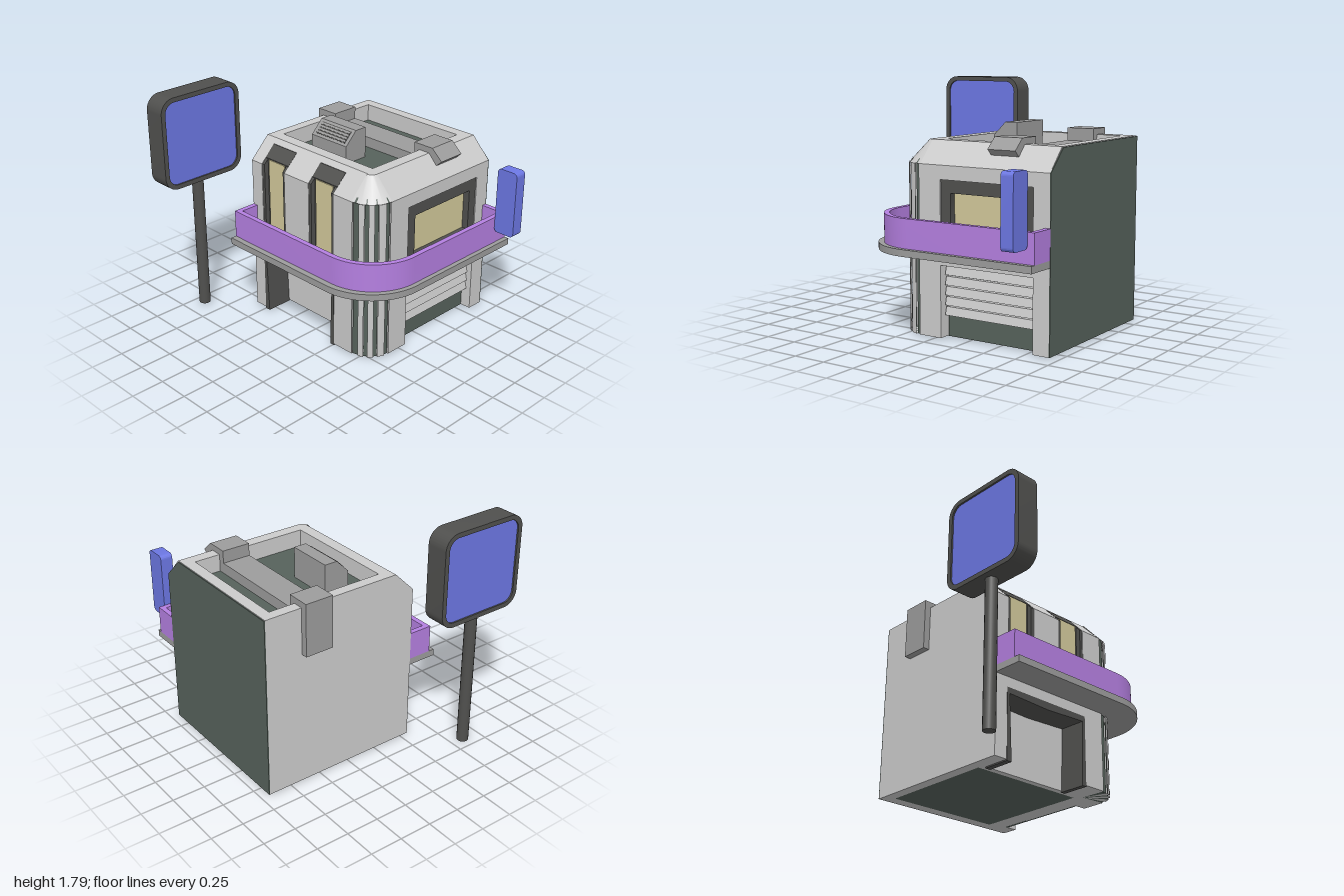
import * as THREE from 'three';
import { toCreasedNormals } from 'three/addons/utils/BufferGeometryUtils.js';

const mat = (color) => new THREE.MeshStandardMaterial({ color, side: THREE.DoubleSide });

export function createModel() {
  const root = new THREE.Group();
  const grey = mat(0xcccccc), mid = mat(0x9c9c9c), dark = mat(0x50504e), green = mat(0x56625b);
  const purple = mat(0xb47fe0), blue = mat(0x6c77e3), tan = mat(0xd1c89a);

  const add = (name, geo, material) => {
    const mesh = new THREE.Mesh(toCreasedNormals(geo, 0.5), material);
    mesh.name = name;
    root.add(mesh);
    return mesh;
  };
  const box = (name, m, x0, x1, y0, y1, z0, z1) => add(name,
    new THREE.BoxGeometry(x1 - x0, y1 - y0, z1 - z0).translate((x0 + x1) / 2, (y0 + y1) / 2, (z0 + z1) / 2), m);
  const poly = (pts) => new THREE.Shape(pts.map(([a, b]) => new THREE.Vector2(a, b)));
  const extrude = (shape, depth) => new THREE.ExtrudeGeometry(shape, { depth, bevelEnabled: false, curveSegments: 12 });
  // (x, y) profile run along z
  const alongZ = (name, m, shape, z0, z1) => add(name, extrude(shape, z1 - z0).translate(0, 0, z0), m);
  // (-z, y) profile run along x
  const alongX = (name, m, shape, x0, x1) => add(name, extrude(shape, x1 - x0).rotateY(Math.PI / 2).translate(x0, 0, 0), m);
  const zy = (pts) => poly(pts.map(([z, y]) => [-z, y]));
  // (x, -z) plan raised along y
  const alongY = (name, m, shape, y0, y1) => add(name, extrude(shape, y1 - y0).rotateX(-Math.PI / 2).translate(0, y0, 0), m);
  const roundRect = (x0, y0, x1, y1, r, s = new THREE.Shape()) => {
    s.moveTo(x0 + r, y0);
    s.absarc(x1 - r, y0 + r, r, -Math.PI / 2, 0);
    s.absarc(x1 - r, y1 - r, r, 0, Math.PI / 2);
    s.absarc(x0 + r, y1 - r, r, Math.PI / 2, Math.PI);
    s.absarc(x0 + r, y0 + r, r, Math.PI, Math.PI * 1.5);
    return s;
  };

  // Core with sunken roof, plain left and back walls
  box('core', green, -0.53, 0.39, 0.01, 1.26, -0.85, 0.06);
  box('leftWall', grey, -0.61, -0.53, 0.01, 1.39, -0.935, 0.06);
  box('backWall', grey, -0.53, 0.39, 0.01, 1.39, -0.935, -0.85);
  alongZ('backPanel', green, poly([[-0.61, 0.01], [0.63, 0.01], [0.63, 1.23], [0.47, 1.385], [-0.61, 1.385]]), -0.942, -0.935);

  // Front wall in vertical strips: door opening below, window notch above
  const strips = [[-0.61, -0.5, 0, 0], [-0.5, -0.25, 1, 1], [-0.25, 0, 1, 0], [0, 0.255, 1, 1], [0.255, 0.43, 0, 0]];
  for (const [x0, x1, door, win] of strips) {
    const base = door ? 0.53 : 0.01;
    const notch = win ? [[0.31, 0.65], [0.265, 0.65], [0.265, 1.27], [0.185, 1.355]] : [[0.31, 1.23]];
    alongX('frontWall', grey, zy([[0.06, base], [0.31, base], ...notch, [0.15, 1.39], [0.06, 1.39]]), x0, x1);
    if (!win) continue;
    const jamb = zy([[0.25, 0.65], [0.306, 0.65], [0.306, 1.23], [0.186, 1.35], [0.17, 1.35]]);
    alongX('windowJamb', dark, jamb, x0, x0 + 0.025);
    alongX('windowJamb', dark, jamb, x1 - 0.025, x1);
    alongX('windowHead', dark, zy([[0.255, 0.65], [0.269, 0.65], [0.269, 1.272], [0.189, 1.355], [0.17, 1.355]]), x0, x1);
    box('frontWindow', tan, x0 + 0.04, x1 - 0.04, 0.65, 1.265, 0.25, 0.276);
  }

  // Deep doorway with a tapered dark surround
  box('doorPanel', grey, -0.5, 0.255, 0.01, 0.53, 0.06, 0.105);
  alongZ('doorFrame', dark, poly([[-0.503, 0], [-0.46, 0], [-0.48, 0.49], [-0.12, 0.475], [0.235, 0.49], [0.22, 0],
    [0.258, 0], [0.258, 0.533], [-0.503, 0.533]]), 0.1, 0.312);

  // Side wall with shutter bay and wide window
  const slope = [[0.63, 1.23], [0.48, 1.39], [0.39, 1.39]];
  const plainSide = poly([[0.39, 0.01], [0.63, 0.01], ...slope]);
  alongZ('sideWall', grey, plainSide, -0.06, 0.11);
  alongZ('sideWall', grey, plainSide, -0.935, -0.81);
  alongZ('sideWall', grey, poly([[0.39, 0.01], [0.53, 0.01], [0.53, 0.53], [0.63, 0.53], [0.63, 0.67], [0.55, 0.67],
    [0.55, 1.13], [0.63, 1.13], ...slope]), -0.81, -0.06);
  box('shutterBack', green, 0.52, 0.545, 0.01, 0.53, -0.81, -0.07);
  for (let i = 0; i < 5; i++) {
    const y = 0.17 + i * 0.072;
    alongZ('shutterSlat', grey, poly([[0.53, y], [0.59, y], [0.575, y + 0.06], [0.53, y + 0.06]]), -0.81, -0.07);
  }
  const frame = roundRect(0.055, 0.67, 0.81, 1.13, 0.008);
  frame.holes.push(roundRect(0.14, 0.72, 0.74, 1.04, 0.004, new THREE.Path()));
  alongX('sideWindowFrame', dark, frame, 0.55, 0.622);
  box('sideWindow', tan, 0.55, 0.57, 0.7, 1.06, -0.76, -0.12);

  // Rounded corner, split into grey ribs and recessed green flutes
  const corner = (name, m, a, b, pts) => {
    const d = Math.PI / 180;
    const geo = new THREE.LatheGeometry(pts.map(([r, y]) => new THREE.Vector2(r, y)), 4, a * d, (b - a) * d);
    add(name, geo.translate(0.43, 0, 0.11), m);
  };
  const edges = [0, 3, 18, 30, 39, 51, 60, 76, 86, 90];
  for (let i = 0; i < edges.length - 1; i++) {
    const [a, b] = [edges[i], edges[i + 1]];
    if (i % 2) corner('cornerFlute', green, a, b, [[0, 0.01], [0.188, 0.01], [0.188, 1.23]]);
    else corner('cornerRib', grey, a, b, [[0, 0.01], [0.2, 0.01], [0.2, 1.23]]);
    if (i % 2) corner('fluteTip', green, (a * 2 + b) / 3, (a + 2 * b) / 3, [[0.2, 1.233], [0.172, 1.263]]);
  }
  corner('cornerSlope', grey, 0, 90, [[0.18, 1.23], [0.2, 1.23], [0.05, 1.39], [0, 1.39]]);

  // Wraparound ledge and fascia band
  const ledge = new THREE.Shape();
  ledge.moveTo(-0.61, -0.31);
  ledge.lineTo(-0.61, -0.54);
  ledge.absarc(0.41, -0.09, 0.45, -Math.PI / 2, 0);
  [[0.86, 0.94], [0.63, 0.94], [0.63, -0.11], [0.57, -0.25], [0.43, -0.31]].forEach((p) => ledge.lineTo(...p));
  alongY('ledge', mid, ledge, 0.61, 0.66);
  const band = new THREE.Shape();
  band.moveTo(-0.61, -0.31);
  band.lineTo(-0.61, -0.495);
  band.absarc(0.415, -0.085, 0.41, -Math.PI / 2, 0);
  [[0.825, 0.94], [0.63, 0.94], [0.63, 0.9], [0.785, 0.9]].forEach((p) => band.lineTo(...p));
  band.absarc(0.415, -0.085, 0.37, 0, -Math.PI / 2, true);
  band.lineTo(-0.57, -0.455);
  band.lineTo(-0.57, -0.31);
  alongY('fasciaBand', purple, band, 0.66, 0.87);

  // Roof duct that dips into the roof well and hangs over the left wall
  alongZ('roofDuct', mid, poly([[-0.66, 1.04], [-0.61, 1.04], [-0.61, 1.25], [0.5, 1.25], [0.5, 1.31], [0.55, 1.31],
    [0.6, 1.355], [0.51, 1.435], [0.34, 1.435], [0.34, 1.34], [-0.48, 1.34], [-0.48, 1.435], [-0.66, 1.435]]), -0.65, -0.43);

  // Roof vent with a louvred sloping face
  alongX('roofVent', mid, zy([[-0.28, 1.26], [-0.08, 1.26], [-0.08, 1.395], [-0.18, 1.495], [-0.28, 1.495]]), -0.37, -0.01);
  const louvre = new THREE.Group();
  louvre.name = 'ventGrille';
  louvre.position.set(-0.19, 1.445, -0.13);
  louvre.rotation.x = -Math.PI / 4;
  const grille = new THREE.Mesh(new THREE.BoxGeometry(0.3, 0.1, 0.006), dark);
  grille.rotation.x = 0;
  louvre.add(grille);
  for (let i = 0; i < 4; i++) {
    const bar = new THREE.Mesh(new THREE.BoxGeometry(0.3, 0.014, 0.012), mid);
    bar.name = 'ventBar';
    bar.position.y = -0.036 + i * 0.024;
    louvre.add(bar);
  }
  grille.name = 'ventBack';
  root.add(louvre);

  // Small blade sign on the side
  alongZ('bladeSign', blue, roundRect(0.83, 0.76, 1.0, 1.27, 0.03), -0.89, -0.795);

  // Freestanding pole sign, lit on both faces
  add('signPole', new THREE.CylinderGeometry(0.044, 0.044, 1.1, 16).translate(-0.915, 0.56, 0.595), dark);
  const rim = roundRect(-0.94, 1.085, -0.235, 1.79, 0.11);
  rim.holes.push(roundRect(-0.905, 1.12, -0.27, 1.755, 0.08, new THREE.Path()));
  alongX('signRim', dark, rim, -1, -0.83);
  alongX('signFace', blue, roundRect(-0.907, 1.118, -0.268, 1.757, 0.08), -0.988, -0.842);

  return root;
}
